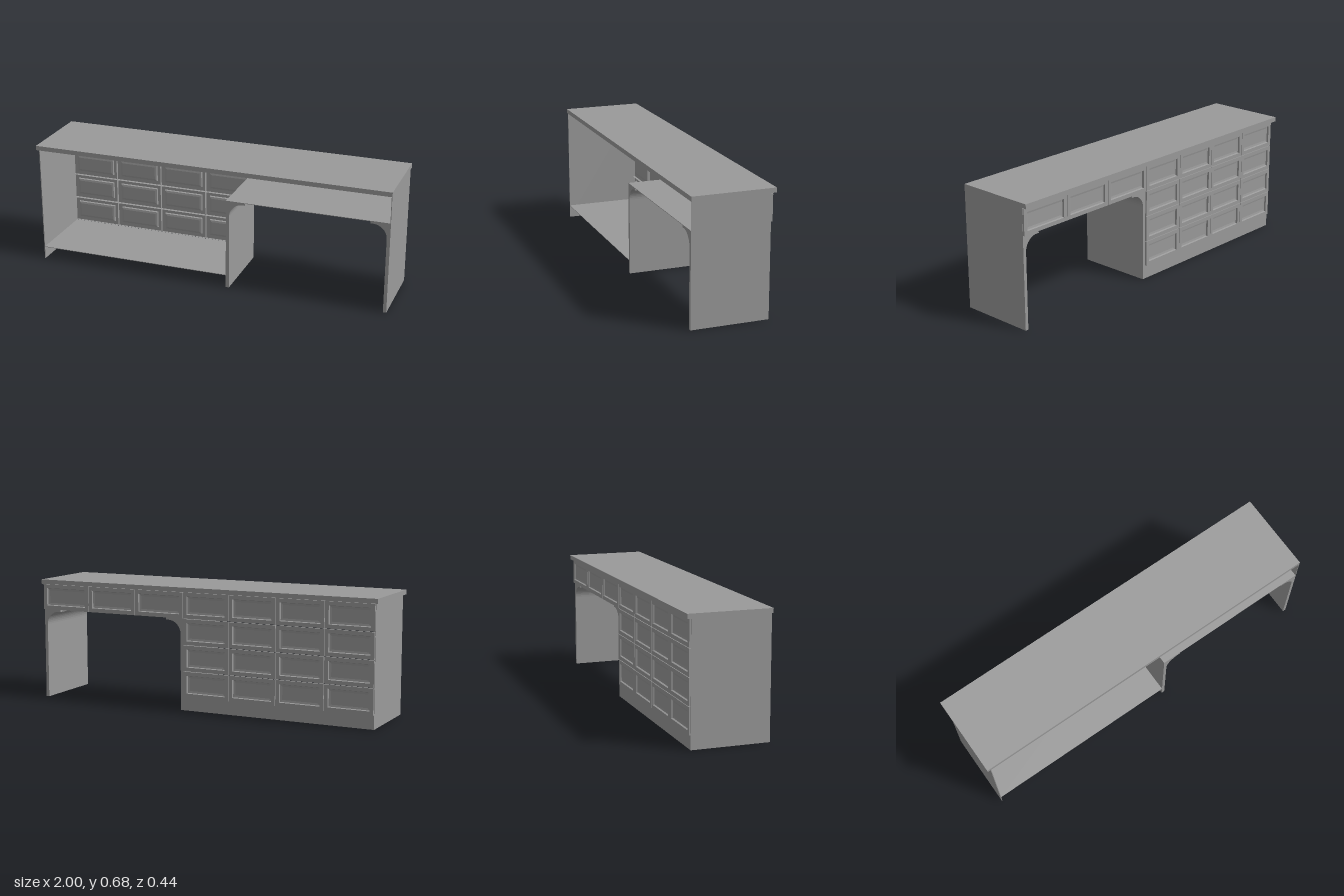
import * as THREE from 'three';

const BACK = -0.195, FRONT = 0.222;
const mat = new THREE.MeshStandardMaterial({ color: 0x9a9a9a, flatShading: true, side: THREE.DoubleSide });

// Box given by its two extreme corners
function box(name, x0, x1, y0, y1, z0, z1) {
  const m = new THREE.Mesh(new THREE.BoxGeometry(x1 - x0, y1 - y0, z1 - z0), mat);
  m.position.set((x0 + x1) / 2, (y0 + y1) / 2, (z0 + z1) / 2);
  m.name = name;
  return m;
}

// Drawer front: a thin shell of nested rectangles, facing -z, with a recessed field
function drawerFront(w, h) {
  const rings = [[0, -0.193], [0, -0.204], [0.021, -0.204], [0.024, -0.195], [0.035, -0.193]];
  const pos = [], idx = [];
  for (const [inset, z] of rings) {
    const a = w / 2 - inset, b = h / 2 - inset;
    pos.push(-a, -b, z, a, -b, z, a, b, z, -a, b, z);
  }
  for (let r = 0; r < rings.length - 1; r++) {
    for (let i = 0; i < 4; i++) {
      const a = r * 4 + i, b = r * 4 + (i + 1) % 4;
      idx.push(a, a + 4, b, b, a + 4, b + 4);
    }
  }
  const c = (rings.length - 1) * 4;
  idx.push(c, c + 2, c + 1, c, c + 3, c + 2);
  const g = new THREE.BufferGeometry();
  g.setAttribute('position', new THREE.Float32BufferAttribute(pos, 3));
  g.setIndex(idx);
  const flat = g.toNonIndexed();
  flat.computeVertexNormals();
  const m = new THREE.Mesh(flat, mat);
  m.name = 'drawerFront';
  return m;
}

// Upright with a rounded bracket at its top; side = 1 opens toward +x, -1 toward -x
function archLeg(name, x, side) {
  const p = (d, y) => [x + side * d, y];
  const s = new THREE.Shape();
  s.moveTo(...p(0, 0));
  s.lineTo(...p(0.018, 0));
  for (let i = 0; i <= 12; i++) {
    const a = (i / 12) * Math.PI / 2;
    s.lineTo(...p(0.093 - 0.075 * Math.cos(a), 0.417 + 0.075 * Math.sin(a)));
  }
  s.lineTo(...p(0.106, 0.492));
  s.lineTo(...p(0.106, 0.503));
  s.lineTo(...p(0, 0.503));
  s.closePath();
  const g = new THREE.ExtrudeGeometry(s, { depth: FRONT - BACK, bevelEnabled: false });
  g.translate(0, 0, BACK);
  const m = new THREE.Mesh(g, mat);
  m.name = name;
  return m;
}

export function createModel() {
  const model = new THREE.Group();
  model.name = 'desk';

  // Worktop and carcass
  model.add(
    box('worktop', -1, 1, 0.65, 0.675, -0.222, FRONT),
    box('cabinetEndPanel', -0.982, -0.978, 0, 0.65, BACK, FRONT),
    box('cabinetFloor', -0.978, 0.11, 0.07, 0.073, BACK, FRONT),
    box('kickBoard', -0.98, 0.127, 0, 0.073, BACK, BACK + 0.003),
    box('kneeholeCeiling', 0.11, 0.996, 0.503, 0.506, BACK, FRONT),
    box('deskEndUpperPanel', 0.996, 0.9995, 0.503, 0.65, BACK, FRONT),
    archLeg('cabinetDivider', 0.11, 1),
    archLeg('deskEndLeg', 0.9995, -1)
  );

  // Drawer fronts: a 4 x 4 cabinet block, then a row of three over the kneehole
  const drawers = new THREE.Group();
  drawers.name = 'drawers';
  const rowH = 0.1437, gap = 0.003;
  function addBlock(x0, x1, cols, firstRow) {
    const w = (x1 - x0) / cols;
    for (let r = firstRow; r < 4; r++) {
      for (let c = 0; c < cols; c++) {
        const d = drawerFront(w - gap, rowH - gap);
        d.position.set(x0 + (c + 0.5) * w, 0.073 + (r + 0.5) * rowH, 0);
        drawers.add(d);
      }
    }
  }
  addBlock(-0.981, 0.11, 4, 0);
  addBlock(0.11, 0.9995, 3, 3);
  model.add(drawers);
  return model;
}
